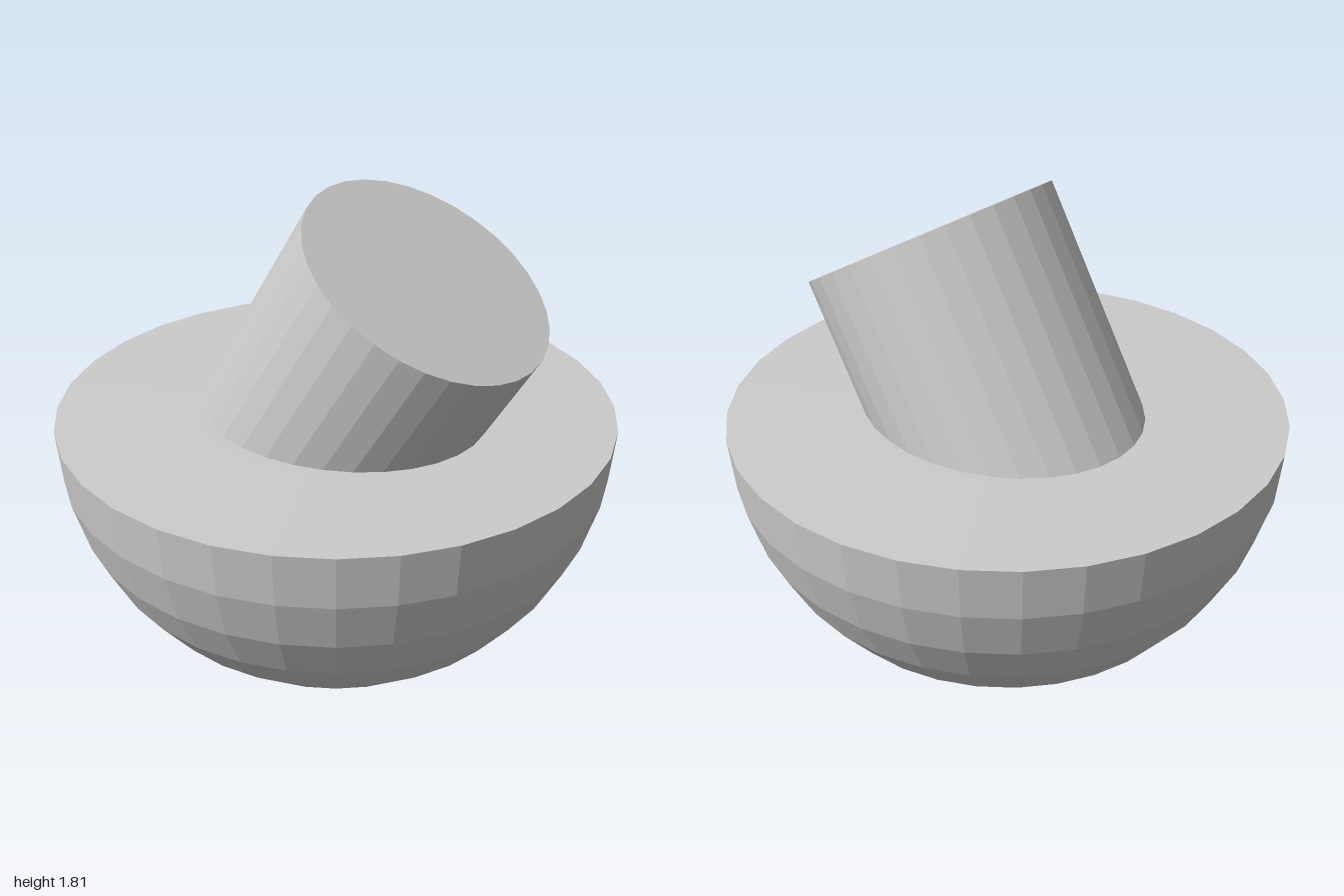
import * as THREE from 'three';

export function createModel() {
  const model = new THREE.Group();
  const material = new THREE.MeshStandardMaterial({ color: 0xcccccc, flatShading: true });
  const add = (name, geometry) => {
    const mesh = new THREE.Mesh(geometry, material);
    mesh.name = name;
    model.add(mesh);
    return mesh;
  };

  // Half-sphere bowl in eight rings, closed by a very slightly raised lid
  const rings = 8;
  const profile = [];
  for (let i = 0; i <= rings; i++) {
    const a = (i / rings) * Math.PI / 2;
    profile.push(new THREE.Vector2(Math.sin(a), 1 - Math.cos(a)));
  }
  profile.push(new THREE.Vector2(0.5, 1.008), new THREE.Vector2(0, 1.008));
  add('hemisphereBase', new THREE.LatheGeometry(profile, 32));

  // Leaning cylinder, its lower end sunk into the base
  const length = 1.02;
  const cylinder = new THREE.CylinderGeometry(0.463, 0.463, length, 32);
  cylinder.translate(0, -length / 2, 0); // pivot at the top cap
  const post = add('tiltedCylinder', cylinder);
  post.position.set(0.36, 1.575, -0.01);
  post.rotation.z = -THREE.MathUtils.degToRad(31.1);

  return model;
}
